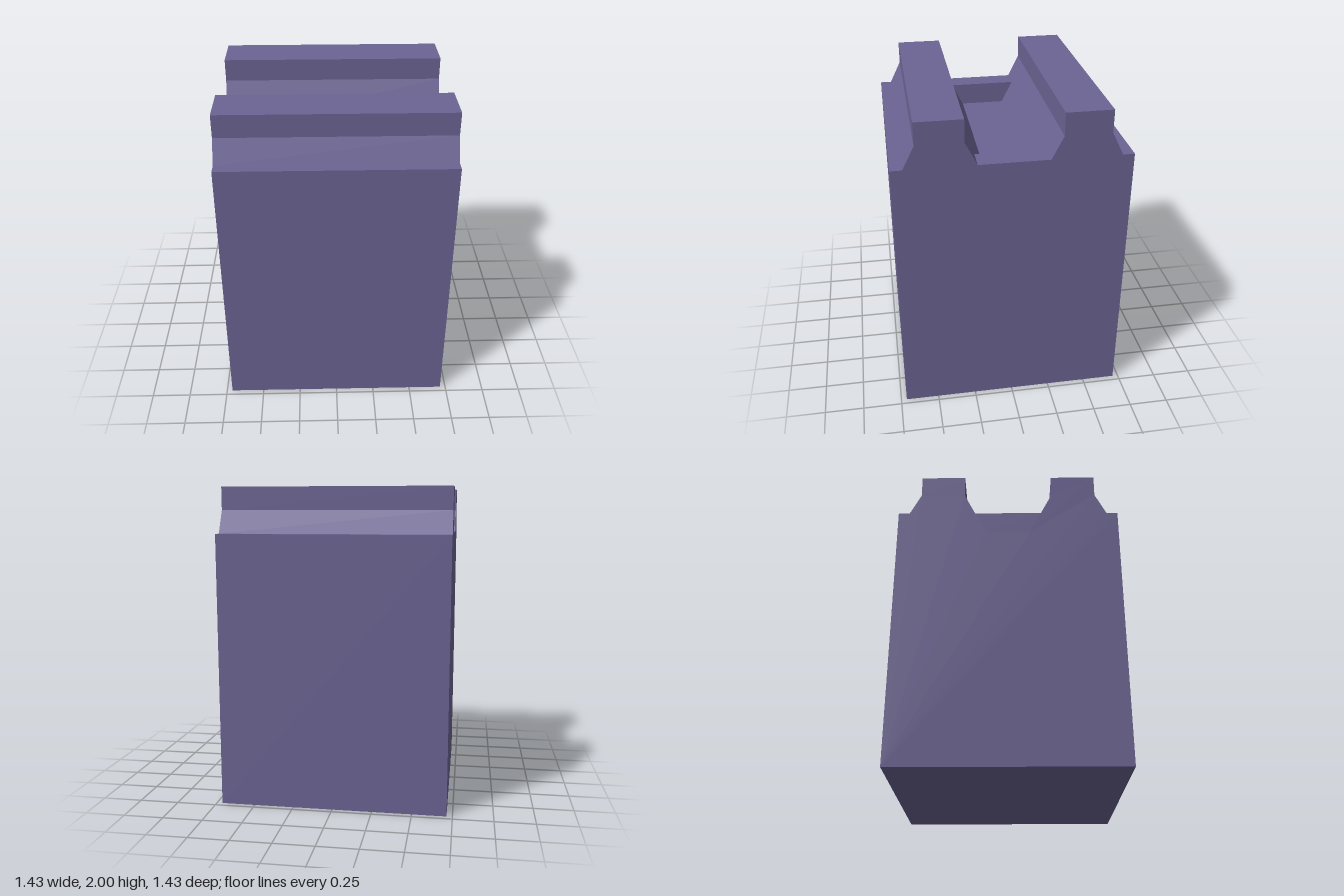
import * as THREE from 'three';

const HALF = 0.714; // half width and half depth of the block
const POCKET = 0.571; // half length of the pocket between the rails

// Extrudes a z-symmetric outline, given as [z, y] for its +z half, along x
function extrudeAlongX(half, length, centreX) {
  const mirrored = half.map(([z, y]) => [-z, y]).reverse();
  const shape = new THREE.Shape([...half, ...mirrored].map(([z, y]) => new THREE.Vector2(z, y)));
  const geometry = new THREE.ExtrudeGeometry(shape, { depth: length, bevelEnabled: false });
  geometry.translate(0, 0, -length / 2);
  geometry.rotateY(Math.PI / 2);
  geometry.translate(centreX, 0, 0);
  return geometry;
}

export function createModel() {
  const group = new THREE.Group();
  const purple = new THREE.MeshStandardMaterial({ color: 0x6c6494 });
  purple.name = 'dusty purple';

  const add = (name, geometry) => {
    const mesh = new THREE.Mesh(geometry, purple);
    mesh.name = name;
    group.add(mesh);
  };

  // Block with two flared rails and a sunken channel between them
  add('railedBlock', extrudeAlongX([
    [HALF, 0], [HALF, 1.714], [0.643, 1.714], [0.571, 1.857], [0.571, 2],
    [0.286, 2], [0.286, 1.857], [0.143, 1.571],
  ], HALF * 2, 0));

  // Sills close both ends of the channel, leaving a pocket
  for (const [name, side] of [['leftSill', 1], ['rightSill', -1]]) {
    add(name, extrudeAlongX([[0.143, 1.571], [0.2145, 1.714]], HALF - POCKET, side * (HALF + POCKET) / 2));
  }

  return group;
}
